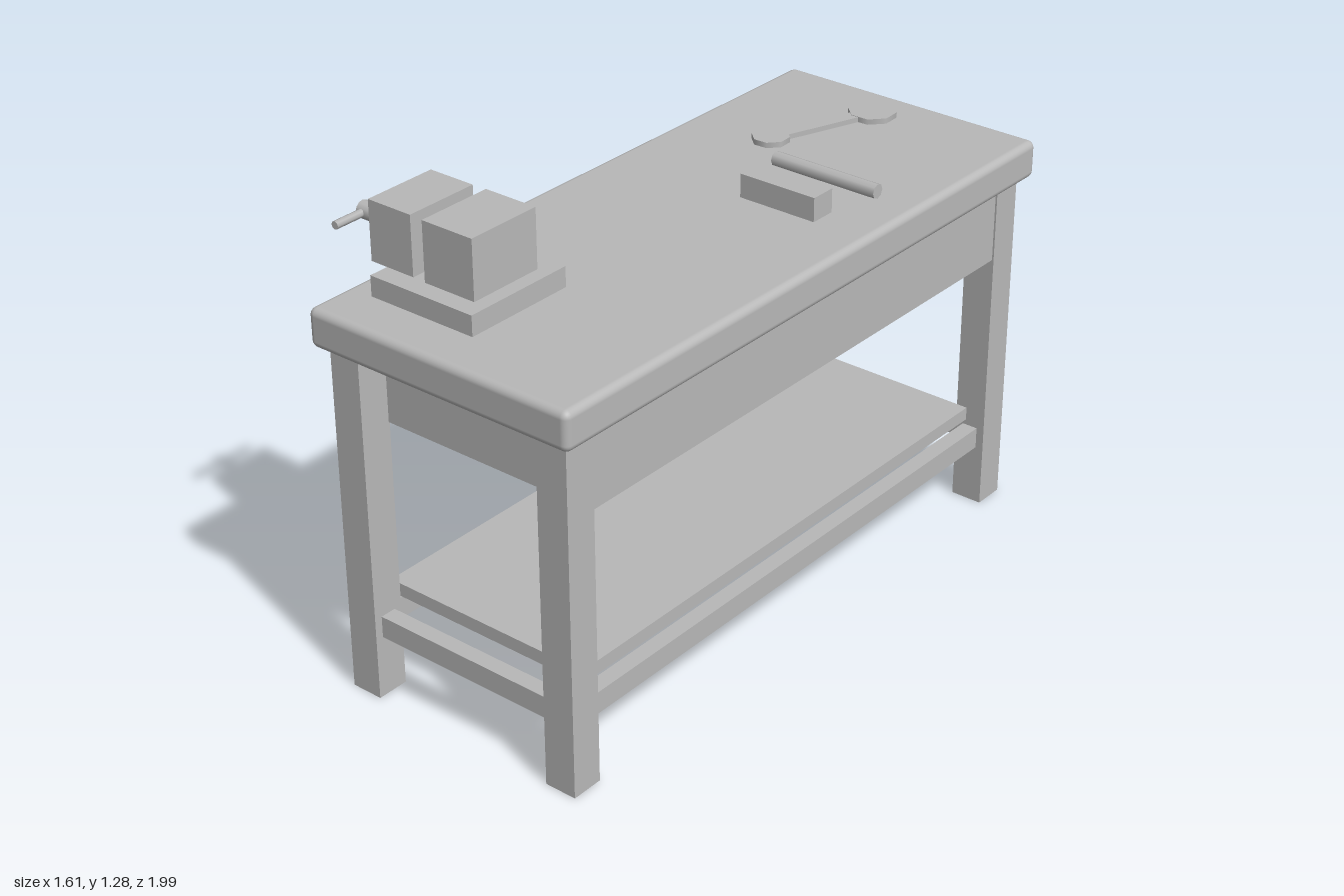
import * as THREE from 'three';
import { RoundedBoxGeometry } from 'three/addons/geometries/RoundedBoxGeometry.js';

export function createModel() {
  const grey = new THREE.MeshStandardMaterial({ color: 0xb8b8b8 });
  grey.name = 'plain grey';

  const model = new THREE.Group();
  model.name = 'workbench';
  // The bench is built lengthwise along x, then turned at the end.
  const bench = new THREE.Group();
  bench.name = 'turnedBench';
  model.add(bench);

  const add = (name, geometry, x, y, z, parent = bench) => {
    const mesh = new THREE.Mesh(geometry, grey);
    mesh.name = name;
    mesh.position.set(x, y, z);
    parent.add(mesh);
    return mesh;
  };
  // Box given by its low and high limits on each axis
  const box = (name, [x0, x1], [y0, y1], [z0, z1], parent = bench) =>
    add(name, new THREE.BoxGeometry(x1 - x0, y1 - y0, z1 - z0),
      (x0 + x1) / 2, (y0 + y1) / 2, (z0 + z1) / 2, parent);
  // Cylinder lying along x or z
  const rod = (name, axis, radius, length, sides, x, y, z, parent = bench) => {
    const geometry = new THREE.CylinderGeometry(radius, radius, length, sides);
    if (axis === 'x') geometry.rotateZ(Math.PI / 2);
    else geometry.rotateX(Math.PI / 2);
    return add(name, geometry, x, y, z, parent);
  };

  // Table top with softened edges
  add('tableTop', new RoundedBoxGeometry(1.86, 0.105, 0.797, 3, 0.02), 0, 1.0125, 0);

  // Legs
  const legX = 0.852, legZ = 0.32, leg = 0.045;
  for (const sx of [-1, 1]) for (const sz of [-1, 1]) {
    add('leg', new THREE.BoxGeometry(leg * 2, 0.965, leg * 2), sx * legX, 0.4825, sz * legZ);
  }

  // Drawer case, its handle and the lower shelf
  box('drawerCase', [-0.81, 0.81], [0.75, 0.95], [-0.36, 0.36]);
  box('drawerHandle', [-0.13, 0.13], [0.815, 0.855], [-0.405, -0.355]);
  box('shelf', [-0.8, 0.8], [0.25, 0.287], [-0.311, 0.311]);

  // Stretchers between the legs
  for (const s of [-1, 1]) {
    add('longStretcher', new THREE.BoxGeometry(legX * 2, 0.06, 0.045), 0, 0.2, s * legZ);
    add('endStretcher', new THREE.BoxGeometry(0.045, 0.06, legZ * 2), s * legX, 0.2, 0);
  }

  // Vice
  const vice = new THREE.Group();
  vice.name = 'vice';
  bench.add(vice);
  box('viceBase', [-0.797, -0.477], [1.06, 1.12], [-0.32, 0], vice);
  box('fixedJaw', [-0.745, -0.53], [1.12, 1.28], [-0.195, -0.04], vice);
  box('slidingJaw', [-0.742, -0.532], [1.12, 1.28], [-0.37, -0.235], vice);
  rod('viceScrew', 'z', 0.023, 0.4, 12, -0.637, 1.178, -0.3, vice);
  rod('viceBar', 'x', 0.011, 0.215, 8, -0.637, 1.178, -0.485, vice);

  // Loose tools on the top
  box('woodBlock', [0.167, 0.241], [1.065, 1.13], [0.013, 0.242]);
  rod('roundRod', 'z', 0.02, 0.32, 8, 0.375, 1.085, 0.125);

  // Spanner: two eight-sided heads joined by a flat shank
  const spanner = new THREE.Group();
  spanner.name = 'spanner';
  spanner.position.set(0.641, 1.072, -0.085);
  spanner.rotation.y = -0.35;
  bench.add(spanner);
  add('largeHead', new THREE.CylinderGeometry(0.066, 0.066, 0.016, 8), 0.16, 0, 0, spanner);
  add('smallHead', new THREE.CylinderGeometry(0.051, 0.051, 0.016, 8), -0.16, 0, 0, spanner);
  add('shank', new THREE.BoxGeometry(0.3, 0.014, 0.038), 0, 0, 0, spanner);

  bench.rotation.y = Math.PI / 3;
  return model;
}
